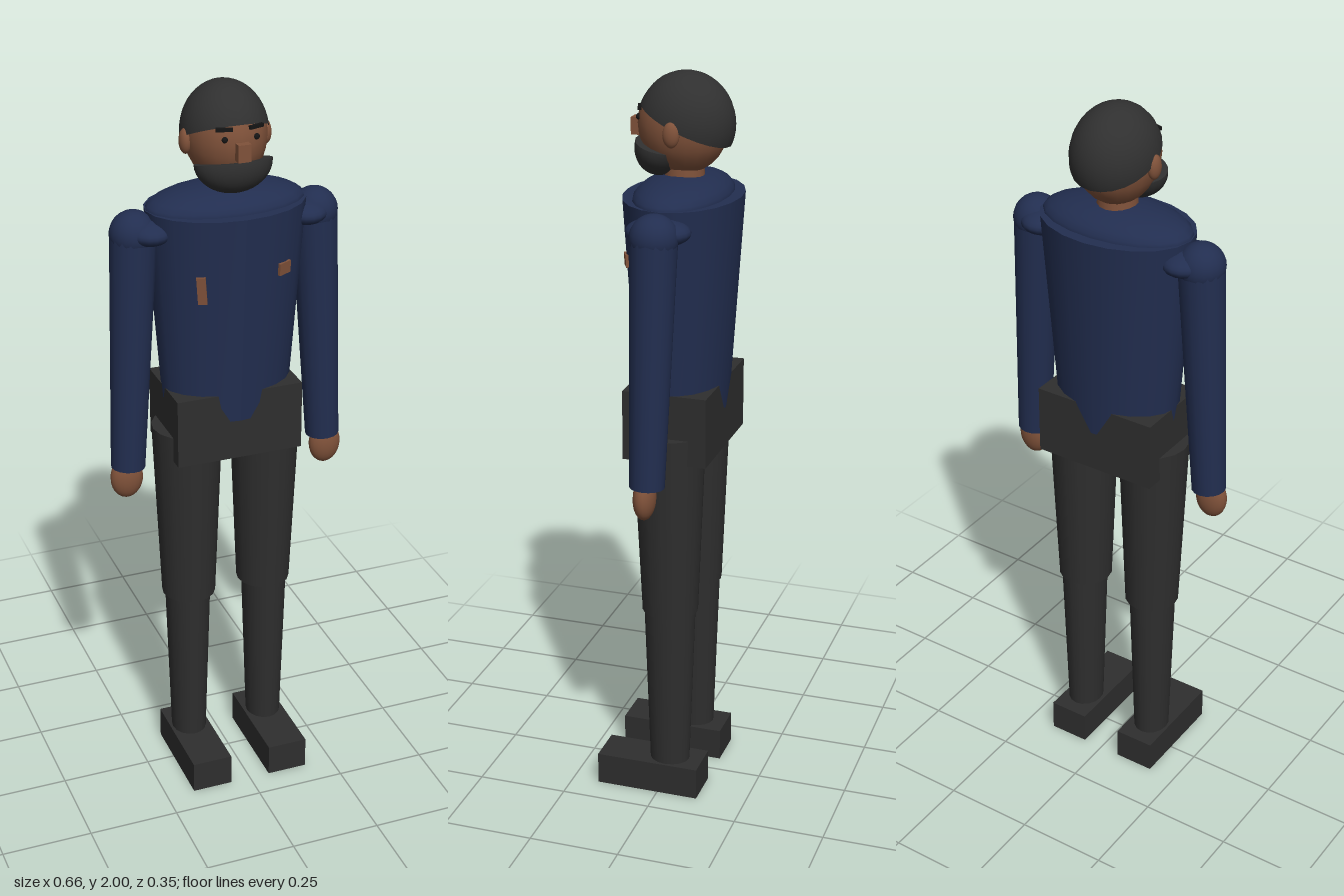
import * as THREE from 'three';

const material = (name, color) => Object.assign(new THREE.MeshStandardMaterial({ color }), { name });

export function createModel() {
  const skin = material('skin', 0x80523a);
  const navy = material('navy sweater', 0x222e50);
  const trousers = material('charcoal trousers', 0x2e2e2e);
  const hair = material('dark hair', 0x303030);
  const black = material('black', 0x151515);
  const model = new THREE.Group();
  model.name = 'standingMan';
  const Z = -0.023; // depth of the body axis

  function add(name, geometry, mat, x, y, z) {
    const mesh = new THREE.Mesh(geometry, mat);
    mesh.name = name;
    mesh.position.set(x, y, z);
    model.add(mesh);
    return mesh;
  }
  const box = (name, mat, size, pos) => add(name, new THREE.BoxGeometry(...size), mat, ...pos);
  const ellipsoid = (name, mat, r, pos) =>
    add(name, new THREE.SphereGeometry(1, 20, 14).scale(...r), mat, ...pos);

  // Tapered round limb between two points, optionally deeper in z
  function limb(name, mat, top, bottom, rTop, rBottom, depth = 1) {
    const a = new THREE.Vector3(...top), b = new THREE.Vector3(...bottom);
    const mesh = add(name, new THREE.CylinderGeometry(rTop, rBottom, a.distanceTo(b), 16), mat,
      ...a.clone().add(b).multiplyScalar(0.5));
    mesh.scale.z = depth;
    mesh.quaternion.setFromUnitVectors(new THREE.Vector3(0, 1, 0), a.sub(b).normalize());
    return mesh;
  }

  // Torso: oval taper with a flattened dome of shoulders on top
  const torso = new THREE.CylinderGeometry(1, 1, 0.575, 20);
  const p = torso.attributes.position;
  for (let i = 0; i < p.count; i++) {
    const up = p.getY(i) > 0;
    p.setX(i, p.getX(i) * (up ? 0.215 : 0.172));
    p.setZ(i, p.getZ(i) * (up ? 0.153 : 0.116));
  }
  torso.computeVertexNormals();
  add('torso', torso, navy, 0, 1.3975, Z);
  ellipsoid('shoulderYoke', navy, [0.215, 0.06, 0.123], [0, 1.68, Z]);
  box('hips', trousers, [0.35, 0.19, 0.228], [0, 1.095, -0.024]);

  // Neck and head
  limb('neck', skin, [0, 1.79, Z], [0, 1.7, Z], 0.05, 0.055);
  ellipsoid('head', skin, [0.105, 0.128, 0.119], [0, 1.866, -0.022]);

  // Hair: half shell tipped backwards
  const cap = new THREE.SphereGeometry(1, 24, 12, 0, Math.PI * 2, 0, Math.PI / 2);
  cap.rotateX(-0.4).scale(0.112, 0.134, 0.127);
  hair.side = THREE.DoubleSide;
  add('hair', cap, hair, 0, 1.866, -0.029);

  // Beard: lower half shell with a closing top disc
  const beard = new THREE.Group();
  beard.name = 'beard';
  const jaw = new THREE.Mesh(new THREE.SphereGeometry(1, 24, 10, 0, Math.PI * 2, Math.PI / 2, Math.PI / 2), hair);
  const beardTop = new THREE.Mesh(new THREE.CircleGeometry(1, 24).rotateX(-Math.PI / 2), hair);
  jaw.name = 'jawBeard';
  beardTop.name = 'beardTop';
  beard.add(jaw, beardTop);
  beard.scale.set(0.103, 0.08, 0.069);
  beard.position.set(0, 1.809, 0.034);
  beard.rotation.x = -0.24;
  model.add(beard);

  box('nose', skin, [0.034, 0.045, 0.035], [0, 1.853, 0.098]);

  for (const s of [1, -1]) {
    const side = s > 0 ? 'left' : 'right';
    // Face
    ellipsoid(side + 'Ear', skin, [0.016, 0.033, 0.022], [s * 0.107, 1.856, -0.022]);
    ellipsoid(side + 'Eye', black, [0.008, 0.008, 0.006], [s * 0.042, 1.884, 0.086]);
    box(side + 'Eyebrow', black, [0.042, 0.009, 0.009], [s * 0.042, 1.909, 0.082]).rotation.y = s * 0.3;

    // Arm
    ellipsoid(side + 'ShoulderJoint', navy, [0.065, 0.035, 0.085], [s * 0.212, 1.635, Z]);
    ellipsoid(side + 'Shoulder', navy, [0.062, 0.062, 0.063], [s * 0.248, 1.628, -0.024]);
    limb(side + 'Sleeve', navy, [s * 0.248, 1.63, -0.024], [s * 0.281, 0.975, -0.014], 0.061, 0.046);
    ellipsoid(side + 'Hand', skin, [0.045, 0.06, 0.029], [s * 0.287, 0.946, -0.009]);

    // Leg
    limb(side + 'Thigh', trousers, [s * 0.112, 1.07, -0.019], [s * 0.111, 0.55, -0.021], 0.095, 0.074, 1.03);
    limb(side + 'Shin', trousers, [s * 0.114, 0.56, -0.021], [s * 0.115, 0.08, -0.021], 0.062, 0.048, 1.15);
    box(side + 'Shoe', trousers, [0.113, 0.09, 0.29], [s * 0.114, 0.045, 0.03]);
  }

  // Small patches lying on the chest
  const rightPatch = box('rightChestPatch', skin, [0.024, 0.075, 0.009], [-0.108, 1.498, 0.096]);
  rightPatch.rotation.set(0.06, -0.42, 0.08);
  const leftPatch = box('leftChestPatch', skin, [0.04, 0.033, 0.009], [0.117, 1.528, 0.094]);
  leftPatch.rotation.set(0.06, 0.45, 0);

  return model;
}
